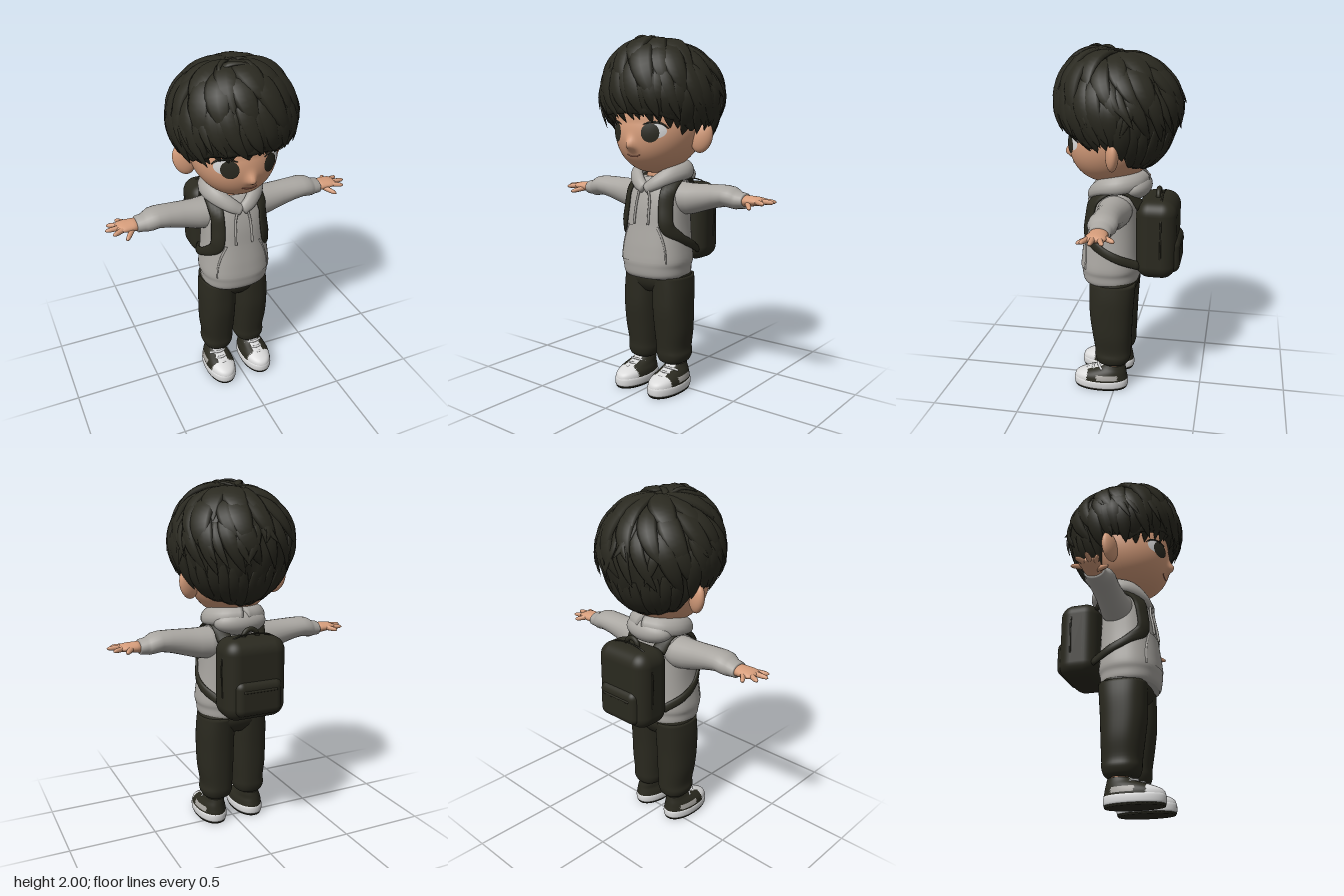
import * as THREE from 'three';
import { RoundedBoxGeometry } from 'three/addons/geometries/RoundedBoxGeometry.js';

const V = (x, y, z) => new THREE.Vector3(x, y, z);
const mat = (name, color) => Object.assign(new THREE.MeshStandardMaterial({ color }), { name });
const TAU = Math.PI * 2;
const pw = (v, p) => Math.sign(v) * Math.abs(v) ** p;

// Linear lookup in rows sorted by their first value
function lerpRow(rows, t) {
  let i = 0;
  while (i < rows.length - 2 && t > rows[i + 1][0]) i++;
  const a = rows[i], b = rows[i + 1];
  const k = THREE.MathUtils.clamp((t - a[0]) / (b[0] - a[0]), 0, 1);
  return a.map((v, j) => v + (b[j] - v) * k);
}

// Capped skin over closed rings that run counter-clockwise about the path
function loft(rings) {
  const n = rings[0].length, pts = rings.flat(), index = [];
  for (let i = 0; i < rings.length - 1; i++) for (let j = 0; j < n; j++) {
    const a = i * n + j, b = i * n + (j + 1) % n;
    index.push(a, b, a + n, b, b + n, a + n);
  }
  for (const end of [0, rings.length - 1]) {
    const c = pts.length, o = end * n;
    pts.push(rings[end].reduce((s, p) => s.add(p), V(0, 0, 0)).divideScalar(n));
    for (let j = 0; j < n; j++) {
      const a = o + j, b = o + (j + 1) % n;
      index.push(...(end ? [c, a, b] : [c, b, a]));
    }
  }
  const g = new THREE.BufferGeometry().setFromPoints(pts);
  g.setIndex(index);
  g.computeVertexNormals();
  return g;
}

// Upright body from rows [y, rx, rz, cz, cx], smoothed between rows
function body(rows, p = 1, steps = 28, seg = 40) {
  const at = (t, c) => {
    const f = t * (rows.length - 1), i = Math.min(Math.floor(f), rows.length - 2), u = f - i;
    const r = k => rows[THREE.MathUtils.clamp(k, 0, rows.length - 1)][c] ?? 0;
    const m0 = (r(i + 1) - r(i - 1)) / 2, m1 = (r(i + 2) - r(i)) / 2;
    return r(i) * (2 * u ** 3 - 3 * u * u + 1) + m0 * (u ** 3 - 2 * u * u + u) + r(i + 1) * (3 * u * u - 2 * u ** 3) + m1 * (u ** 3 - u * u);
  };
  return loft(Array.from({ length: steps + 1 }, (_, i) => Array.from({ length: seg }, (_, j) => {
    const t = i / steps, a = j / seg * TAU;
    return V(at(t, 4) + at(t, 1) * pw(Math.sin(a), p), at(t, 0), at(t, 3) + at(t, 2) * pw(Math.cos(a), p));
  })));
}

// Oval section swept along a curve; size(s) gives [half thickness, half width]
function sweep(points, size, normal = () => V(0, 1, 0), steps = 12, seg = 8) {
  const curve = new THREE.CatmullRomCurve3(points);
  return loft(Array.from({ length: steps + 1 }, (_, i) => {
    const s = i / steps, P = curve.getPoint(s), T = curve.getTangent(s), N = normal(P);
    N.addScaledVector(T, -N.dot(T)).normalize();
    const B = T.clone().cross(N), [h, w] = size(s);
    return Array.from({ length: seg }, (_, j) => {
      const a = j / seg * TAU;
      return P.clone().addScaledVector(N, Math.cos(a) * h).addScaledVector(B, Math.sin(a) * w);
    });
  }));
}

// Sorts faces into material groups by a rule on their centre
function paint(g, rule) {
  const ix = g.index.array, p = g.attributes.position, bins = [];
  for (let i = 0; i < ix.length; i += 3) {
    const c = V(0, 0, 0);
    for (let k = 0; k < 3; k++) c.add(V(p.getX(ix[i + k]), p.getY(ix[i + k]), p.getZ(ix[i + k])));
    (bins[rule(c.divideScalar(3))] ??= []).push(ix[i], ix[i + 1], ix[i + 2]);
  }
  let start = 0;
  bins.forEach((b, m) => { g.addGroup(start, b.length, m); start += b.length; });
  g.setIndex(bins.flat());
  return g;
}

function mirrored(g) {
  const m = g.clone().scale(-1, 1, 1), ix = m.index.array;
  for (let i = 0; i < ix.length; i += 3) [ix[i], ix[i + 1]] = [ix[i + 1], ix[i]];
  m.computeVertexNormals();
  return m;
}

const ball = (x, y, z, rx, ry, rz) => new THREE.SphereGeometry(1, 32, 20).scale(rx, ry, rz).translate(x, y, z);

export function createModel() {
  const model = new THREE.Group();
  const hair = mat('hair', 0x2a2920), cloth = mat('darkCloth', 0x2a291f), skin = mat('skin', 0xd69d7b);
  const grey = mat('hoodieGrey', 0xa9a6a1), white = mat('shoeWhite', 0xdadada), lip = mat('lip', 0xb0705a);
  const add = (name, g, m) => { const o = new THREE.Mesh(g, m); o.name = name; model.add(o); };
  const both = (name, g, m) => { add(name + 'Left', g, m); add(name + 'Right', mirrored(g), m); };
  let seed = 7;
  const rnd = () => (seed = (seed * 16807) % 2147483647) / 2147483647;

  // Head with a forward jaw and a nose raised out of the face
  const jaw = y => 0.06 * Math.max(0, (1.53 - y) / 0.28);
  const noseBump = (x, y) => 0.036 * Math.exp(-((x / 0.026) ** 2) - ((y - 1.405) / (y > 1.405 ? 0.04 : 0.024)) ** 2);
  const faceZ = (x, y) => 0.002 + jaw(y) + 0.27 * Math.sqrt(Math.max(0, 1 - (x / 0.25) ** 2 - ((y - 1.53) / 0.28) ** 2));
  const head = new THREE.SphereGeometry(1, 120, 90).scale(0.25, 0.28, 0.27).translate(0, 1.53, 0.002);
  const hp = head.attributes.position;
  for (let i = 0; i < hp.count; i++) {
    const x = hp.getX(i), y = hp.getY(i), z = hp.getZ(i);
    hp.setZ(i, z + jaw(y) + (z > 0 ? noseBump(x, y) : 0));
  }
  head.computeVertexNormals();
  add('head', head, skin);
  add('neck', new THREE.CylinderGeometry(0.075, 0.085, 0.2, 28).translate(0, 1.22, 0.01), skin);
  both('ear', ball(0, 0, 0, 0.06, 0.088, 0.034).rotateZ(-0.25).rotateY(0.35).translate(0.266, 1.452, -0.01), skin);

  // Eyes as thin ovals laid on the face
  const oval = (cx, cy, rx, ry, lift) => {
    const g = new THREE.RingGeometry(0.001, 1, 32, 5).scale(rx, ry, 1).translate(cx, cy, 0), p = g.attributes.position;
    for (let i = 0; i < p.count; i++) p.setZ(i, faceZ(p.getX(i), p.getY(i)) + lift);
    g.computeVertexNormals();
    return g;
  };
  both('eyeWhite', oval(0.137, 1.488, 0.046, 0.04, 0.003), white);
  both('iris', oval(0.113, 1.478, 0.043, 0.051, 0.006), hair);
  const onFace = (x, y) => V(x, y, faceZ(x, y) + 0.002);
  both('upperLash', sweep([[0.075, 1.522], [0.12, 1.534], [0.165, 1.524], [0.188, 1.5]].map(q => onFace(...q)), s => [0.005, 0.006 * Math.sin(0.3 + 2.6 * s)], () => V(0, 0, 1)), hair);
  add('mouth', sweep([[-0.042, 1.358], [-0.02, 1.35], [0, 1.348], [0.02, 1.35], [0.042, 1.358]].map(q => onFace(...q)), () => [0.003, 0.003], () => V(0, 0, 1)), lip);

  // Hair cap: full over the brow, tapering to the nape, with a shaped hem
  const C = V(0.005, 1.66, 0);
  const onHair = (a, phi, k = 1) => {
    const s = Math.sin(phi), c = Math.cos(phi), low = Math.max(0, -c);
    const r = s * (1 - 0.1 * low), rise = c > 0 ? 0.302 + 0.09 * Math.max(0, Math.cos(a) * s) : 0.375;
    return V(0.338 * Math.sin(a) * r, rise * c, 0.342 * Math.cos(a) * r).multiplyScalar(k).add(C);
  };
  const hemRows = [[0, 1.58], [0.6, 1.57], [1, 1.53], [1.22, 1.48], [1.4, 1.52], [1.72, 1.52], [1.95, 1.38], [Math.PI, 1.325]];
  const hemPhi = a => Math.acos(THREE.MathUtils.clamp((lerpRow(hemRows, Math.abs(a))[1] - 1.66) / 0.375, -0.93, 0.95));
  const capRings = [];
  for (let i = 0; i <= 26; i++) capRings.push(Array.from({ length: 96 }, (_, j) => {
    const a = j / 96 * TAU - Math.PI, t = Math.min(1, (26 - i + 0.2) / 23), k = i < 3 ? 0.72 + 0.09 * i : 1;
    const phi = t * hemPhi(a);
    return onHair(a, phi, k + 0.016 * Math.sin(phi) * Math.sin(15 * a + 5 * phi));
  }));
  add('hairCap', loft(capRings), hair);

  // Layered locks sweeping out of the crown
  const locks = new THREE.Group();
  locks.name = 'hairLocks';
  model.add(locks);
  const lock = (a0, a1, p0, p1, w, flare) => {
    const pts = [0, 0.25, 0.5, 0.75, 1].map(s => onHair(a0 + (a1 - a0) * s * s, p0 + (p1 - p0) * s, 0.985 + 0.03 * Math.sin(s * 2.6) + flare * s ** 3));
    const size = s => { const f = Math.max(0.02, Math.sin(Math.PI * (0.15 + 0.85 * s)) ** 0.75); return [0.3 * w * f, w * f]; };
    const m = new THREE.Mesh(sweep(pts, size, p => p.clone().sub(C)), hair);
    m.name = 'lock';
    locks.add(m);
  };
  for (const [n, p0, p1, w, f] of [[11, 0.12, 1.0, 0.062, 0.03], [16, 0.5, 1.4, 0.058, 0.05], [20, 0.9, 1.75, 0.046, 0.06]])
    for (let i = 0; i < n; i++) {
      const a = (i + 0.5 * rnd()) / n * TAU - Math.PI;
      const end = Math.min(p1 + 0.25 * rnd(), hemPhi(a) + 0.05);
      lock(a, a + 0.2 + 0.2 * rnd(), p0, end, w * (0.8 + 0.4 * rnd()), f * rnd());
    }
  // Hem locks: fringe curling to the brow, flat nape behind
  for (let i = 0; i < 34; i++) {
    const a = (i + 0.4 * rnd()) / 34 * TAU - Math.PI, h = hemPhi(a), r = Math.abs(a), front = r < 1.2;
    lock(a - 0.08, a + 0.12 * (rnd() - 0.5), h - 0.75, Math.min(h + (front ? 0.1 : 0.02) + 0.08 * rnd(), 2.85), r > 1.9 ? 0.034 : 0.048, front ? -0.07 : r > 1.9 ? -0.03 : 0.015);
  }
  // Loose flicks at the sides and back
  for (let i = 0; i < 18; i++) {
    const a = 0.9 + (i + rnd()) / 18 * (TAU - 1.8), p = 1.3 + 0.4 * rnd();
    lock(a, a + (rnd() > 0.5 ? 0.25 : -0.2), p - 0.55, p + 0.15, 0.026, 0.04 + 0.05 * rnd());
  }
  // Tousled strands on top
  const strand = (...q) => add('topStrand', sweep(q.map(p => V(...p)), s => [0.013 * (1.05 - s), 0.026 * (1.05 - s)], p => p.clone().sub(C)), hair);
  strand([-0.03, 1.95, 0.02], [-0.07, 1.985, 0.07], [-0.12, 1.97, 0.13], [-0.12, 1.91, 0.2]);
  strand([-0.11, 1.94, 0.09], [-0.07, 1.985, 0.13], [0.01, 1.985, 0.16], [0.08, 1.93, 0.22]);
  strand([-0.05, 1.94, 0], [0.02, 1.975, 0.04], [0.1, 1.965, 0.08], [0.19, 1.91, 0.12]);
  strand([0, 1.94, 0.05], [0.03, 1.985, 0.12], [0.04, 1.965, 0.2], [0.02, 1.89, 0.28]);

  // Hoodie body
  const P = 0.85;
  const torso = [[0.665, 0.18, 0.15, 0.04], [0.685, 0.193, 0.163, 0.04], [0.725, 0.197, 0.167, 0.042], [0.765, 0.206, 0.172, 0.04], [0.85, 0.197, 0.165, 0.038],
    [0.95, 0.187, 0.157, 0.032], [1.05, 0.183, 0.15, 0.028], [1.13, 0.18, 0.14, 0.02], [1.19, 0.155, 0.125, 0.012], [1.23, 0.11, 0.1, 0.005]];
  add('hoodieBody', body(torso, P, 36, 48), grey);
  const chestZ = (x, y) => {
    const [, rx, rz, cz] = lerpRow(torso, y);
    return cz + rz * Math.max(0, 1 - Math.abs(x / rx) ** (2 / P)) ** (P / 2);
  };
  const onChest = (x, y, d = 0.006) => V(x, y, chestZ(x, y) + d);

  // Front pocket panel and its slanted edges
  const pocketX = v => 0.155 - 0.055 * v * v;
  const pocket = new THREE.PlaneGeometry(2, 1, 20, 12), pp = pocket.attributes.position;
  for (let i = 0; i < pp.count; i++) {
    const v = pp.getY(i) + 0.5, x = pp.getX(i) * pocketX(v), y = 0.76 + 0.2 * v;
    pp.setXYZ(i, x, y, chestZ(x, y) + 0.005);
  }
  pocket.computeVertexNormals();
  add('pocket', pocket, grey);
  both('pocketEdge', sweep([0, 0.33, 0.66, 1].map(v => onChest(pocketX(v), 0.76 + 0.2 * v, 0.002)), s => [0.006, 0.004 + 0.003 * s], () => V(0, 0, 1)), grey);
  both('drawstring', sweep([onChest(0.03, 1.17, 0.02), onChest(0.045, 1.1), onChest(0.048, 1.04), onChest(0.05, 0.97, 0.008)], () => [0.007, 0.007], () => V(0, 0, 1)), grey);

  // Hood lying around the neck
  both('hoodSide', sweep([V(0.004, 1.165, 0.155), V(0.06, 1.2, 0.135), V(0.125, 1.245, 0.07), V(0.14, 1.262, -0.02), V(0.09, 1.27, -0.1), V(0, 1.272, -0.13)],
    s => [0.022 + 0.03 * s, 0.03 + 0.025 * Math.sin(2.2 * s)], p => V(p.x, 0.08, p.z), 24, 14), grey);
  add('hoodBack', ball(0, 1.235, -0.095, 0.155, 0.075, 0.095), grey);

  // Sleeves, built along x from rows [x, centre y, half height, half depth]
  const alongX = rows => loft(rows.map(([x, y, h, d]) => Array.from({ length: 24 }, (_, j) => V(x, y + h * Math.cos(j / 24 * TAU), d * Math.sin(j / 24 * TAU)))));
  both('sleeve', alongX([[0.08, 1.115, 0.085, 0.1], [0.16, 1.11, 0.092, 0.095], [0.22, 1.112, 0.086, 0.085], [0.3, 1.125, 0.075, 0.077], [0.38, 1.138, 0.064, 0.077], [0.44, 1.144, 0.058, 0.08],
    [0.48, 1.138, 0.058, 0.078], [0.505, 1.13, 0.053, 0.066], [0.52, 1.127, 0.046, 0.06], [0.555, 1.125, 0.041, 0.058], [0.56, 1.125, 0.034, 0.05]]), grey);

  // Hands with spread fingers
  both('palm', alongX([[0.54, 1.125, 0.032, 0.048], [0.58, 1.127, 0.029, 0.051], [0.62, 1.129, 0.025, 0.056], [0.65, 1.13, 0.02, 0.053], [0.668, 1.13, 0.01, 0.036]]), skin);
  for (const [name, a, b] of [['thumb', [0.585, 1.118, 0.03], [0.637, 1.098, 0.1]], ['indexFinger', [0.635, 1.13, 0.034], [0.7, 1.125, 0.066]], ['middleFinger', [0.64, 1.132, 0.01], [0.73, 1.13, 0.013]],
    ['ringFinger', [0.64, 1.13, -0.018], [0.71, 1.126, -0.048]], ['littleFinger', [0.61, 1.128, -0.038], [0.65, 1.12, -0.094]]]) {
    const A = V(...a), B = V(...b);
    both(name, sweep([A, A.clone().lerp(B, 0.5), B], s => { const r = 0.0155 * Math.sqrt(1.03 - s ** 6) * (1 - 0.2 * s); return [r, r]; }), skin);
  }

  // Trousers
  add('hips', body([[0.575, 0.1, 0.1, 0.022], [0.61, 0.18, 0.125, 0.022], [0.65, 0.197, 0.138, 0.02], [0.7, 0.185, 0.135, 0.02]], P, 12), cloth);
  both('trouserLeg', body([[0.155, 0.064, 0.075, 0.018, 0.105], [0.17, 0.082, 0.094, 0.018, 0.105], [0.205, 0.094, 0.105, 0.017, 0.105], [0.25, 0.092, 0.107, 0.017, 0.102], [0.35, 0.102, 0.116, 0.022, 0.105],
    [0.47, 0.105, 0.126, 0.027, 0.104], [0.58, 0.105, 0.131, 0.024, 0.102], [0.67, 0.098, 0.135, 0.02, 0.099]], 0.85, 30), cloth);

  // Shoes: painted upper, pale sole, dark tread, laces
  const sx = 0.12;
  both('ankle', new THREE.CylinderGeometry(0.052, 0.05, 0.09, 24).translate(0.113, 0.15, 0.01), skin);
  both('shoeUpper', paint(body([[0.03, 0.083, 0.157, 0.088, sx], [0.06, 0.086, 0.16, 0.088, sx], [0.085, 0.082, 0.15, 0.082, sx], [0.108, 0.071, 0.122, 0.058, sx], [0.13, 0.06, 0.086, 0.026, 0.116], [0.15, 0.053, 0.066, 0.01, 0.114]], 0.95, 32, 72), c => {
    if (c.z > 0.163 || (Math.abs(c.x - sx) < 0.03 && c.z > 0.05)) return 1;
    return c.x > sx && c.y > 0.067 && c.y < 0.096 && c.z > -0.02 && c.z < 0.105 ? 2 : 0;
  }), [cloth, white, grey]);
  both('sole', body([[0.011, 0.084, 0.158, 0.088, sx], [0.02, 0.089, 0.163, 0.088, sx], [0.05, 0.089, 0.163, 0.088, sx], [0.062, 0.081, 0.156, 0.088, sx]], 0.92, 8), white);
  both('tread', body([[0, 0.082, 0.156, 0.088, sx], [0.012, 0.087, 0.161, 0.088, sx]], 0.92, 2), cloth);
  for (const [y, z] of [[0.107, 0.168], [0.122, 0.138], [0.138, 0.104]])
    both('lace', sweep([V(sx - 0.052, y - 0.014, z - 0.03), V(sx, y + 0.002, z), V(sx + 0.052, y - 0.014, z - 0.03)], () => [0.006, 0.008]), white);

  // Backpack with front pocket, zip ridges, handle and straps
  const box = (name, w, h, d, r, y, z) => add(name, new RoundedBoxGeometry(w, h, d, 6, r).translate(0, y, z), cloth);
  box('backpackBody', 0.365, 0.455, 0.228, 0.08, 0.952, -0.23);
  box('backpackPocket', 0.28, 0.205, 0.1, 0.045, 0.86, -0.315);
  box('pocketZip', 0.2, 0.014, 0.014, 0.006, 0.905, -0.363);
  add('backpackZip', sweep([V(-0.182, 0.86, -0.262), V(-0.18, 1.08, -0.262), V(-0.115, 1.177, -0.258), V(0.115, 1.177, -0.258), V(0.18, 1.08, -0.262), V(0.182, 0.86, -0.262)], () => [0.005, 0.004], () => V(0, 0, 1), 40), cloth);
  add('backpackHandle', new THREE.TorusGeometry(0.042, 0.014, 10, 20, Math.PI).translate(0, 1.175, -0.23), cloth);
  const strap = [V(0.11, 1.14, -0.14), V(0.12, 1.215, -0.08), V(0.13, 1.225, 0.02), onChest(0.135, 1.16, 0.012), onChest(0.137, 1.06, 0.008), onChest(0.15, 0.96, 0.01), V(0.188, 0.9, 0.08), V(0.196, 0.85, -0.02), V(0.15, 0.8, -0.14)];
  both('strap', sweep(strap, s => [0.013, 0.041 - 0.016 * THREE.MathUtils.smoothstep(s, 0.6, 0.8)], p => V(p.x * 0.7, 4 * Math.max(0, p.y - 1.13), p.z - 0.03), 48, 12), cloth);
  return model;
}
